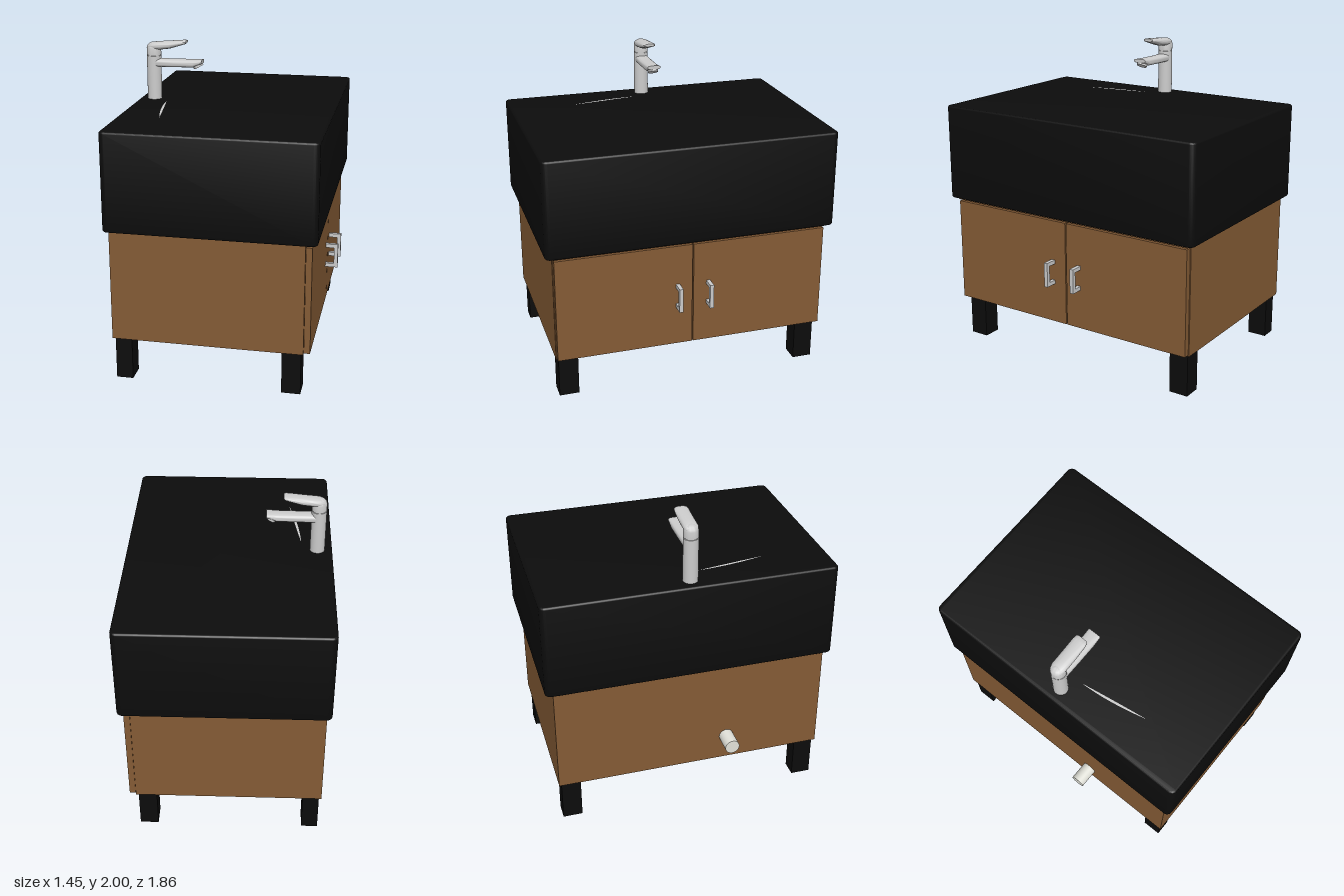
import * as THREE from 'three';
import { toCreasedNormals } from 'three/addons/utils/BufferGeometryUtils.js';

const mat = (color) => new THREE.MeshStandardMaterial({ color });
const black = mat(0x0c0c0c), wood = mat(0x845b35), metal = mat(0xcccccc), pale = mat(0xe2e2da);

function add(parent, name, geometry, material, x = 0, y = 0, z = 0) {
  const mesh = new THREE.Mesh(geometry, material);
  mesh.name = name;
  mesh.position.set(x, y, z);
  parent.add(mesh);
  return mesh;
}

// Box given by its minimum and maximum corners
function box(parent, name, material, [x0, y0, z0], [x1, y1, z1]) {
  return add(parent, name, new THREE.BoxGeometry(x1 - x0, y1 - y0, z1 - z0), material,
    (x0 + x1) / 2, (y0 + y1) / 2, (z0 + z1) / 2);
}

// Loft along +x through stations [x, yLow, yHigh, halfWidth] with rounded cross-sections
function loft(stations, n = 32, power = 0.7) {
  const pos = [], index = [];
  const soft = (v) => Math.sign(v) * Math.abs(v) ** power;
  for (const [x, lo, hi, w] of stations) {
    for (let i = 0; i < n; i++) {
      const a = (i / n) * Math.PI * 2;
      pos.push(x, (lo + hi) / 2 + soft(Math.sin(a)) * (hi - lo) / 2, soft(Math.cos(a)) * w);
    }
  }
  const last = stations.length - 1;
  for (let s = 0; s < last; s++) {
    for (let i = 0; i < n; i++) {
      const a = s * n + i, b = s * n + (i + 1) % n;
      index.push(a, a + n, b, b, a + n, b + n);
    }
  }
  // End caps
  for (const s of [0, last]) {
    const c = pos.length / 3, [x, lo, hi] = stations[s];
    pos.push(x, (lo + hi) / 2, 0);
    for (let i = 0; i < n; i++) {
      const a = s * n + i, b = s * n + (i + 1) % n;
      if (s === 0) index.push(c, a, b); else index.push(c, b, a);
    }
  }
  const g = new THREE.BufferGeometry();
  g.setAttribute('position', new THREE.Float32BufferAttribute(pos, 3));
  g.setIndex(index);
  return toCreasedNormals(g, 0.7);
}

// Slab with rounded vertical corners and small bevelled edges
function basinGeometry(w, h, d, r, bevel) {
  const x = w / 2 - bevel, y = d / 2 - bevel, s = new THREE.Shape();
  s.absarc(x - r, y - r, r, 0, Math.PI / 2);
  s.absarc(-x + r, y - r, r, Math.PI / 2, Math.PI);
  s.absarc(-x + r, -y + r, r, Math.PI, Math.PI * 1.5);
  s.absarc(x - r, -y + r, r, Math.PI * 1.5, Math.PI * 2);
  const g = new THREE.ExtrudeGeometry(s, {
    depth: h - 2 * bevel, bevelThickness: bevel, bevelSize: bevel, bevelSegments: 3, curveSegments: 6,
  });
  g.translate(0, 0, bevel - h / 2).rotateX(-Math.PI / 2);
  return toCreasedNormals(g, 0.6);
}

export function createModel() {
  const model = new THREE.Group();
  model.name = 'washstand';

  // Cabinet with a top rail above the doors
  const cabinet = new THREE.Group();
  cabinet.name = 'cabinet';
  model.add(cabinet);
  box(cabinet, 'carcass', wood, [-0.595, 0.275, -0.88], [0.6, 0.995, 0.88]);
  box(cabinet, 'topRail', wood, [0.6, 0.975, -0.88], [0.64, 0.995, 0.88]);

  // Doors and their bracket handles, mirrored in z
  for (const side of [1, -1]) {
    const label = side > 0 ? 'front' : 'back';
    const z = [0.004 * side, 0.875 * side].sort((a, b) => a - b);
    box(cabinet, label + 'Door', wood, [0.602, 0.285, z[0]], [0.64, 0.965, z[1]]);

    const handle = new THREE.Group();
    handle.name = label + 'Handle';
    handle.position.z = 0.1 * side;
    box(handle, 'grip', metal, [0.695, 0.545, -0.0125], [0.72, 0.705, 0.0125]);
    box(handle, 'lowerPost', metal, [0.638, 0.545, -0.0125], [0.695, 0.57, 0.0125]);
    box(handle, 'upperPost', metal, [0.638, 0.68, -0.0125], [0.695, 0.705, 0.0125]);
    cabinet.add(handle);

    // Square legs
    box(model, label + 'LegWallSide', black, [-0.58, 0, side * 0.8 - 0.063], [-0.475, 0.275, side * 0.8 + 0.063]);
    box(model, label + 'LegDoorSide', black, [0.467, 0, side * 0.8 - 0.063], [0.585, 0.275, side * 0.8 + 0.063]);
  }

  // Basin block
  add(model, 'basin', basinGeometry(1.3, 0.62, 1.86, 0.025, 0.012), black, 0.025, 1.3, 0);

  // Thin crescent lying on the basin top
  const crescent = new THREE.Shape();
  crescent.moveTo(-0.43, -0.08);
  crescent.quadraticCurveTo(-0.425, -0.28, -0.36, -0.525);
  crescent.quadraticCurveTo(-0.395, -0.28, -0.43, -0.08);
  const crescentMat = mat(0xcccccc);
  crescentMat.side = THREE.DoubleSide;
  add(model, 'basinCrescent', new THREE.ShapeGeometry(crescent).rotateX(-Math.PI / 2), crescentMat, 0, 1.612, 0);

  // Waste pipe on the wall side
  add(model, 'wastePipe', new THREE.CylinderGeometry(0.047, 0.047, 0.14, 32).rotateZ(Math.PI / 2),
    pale, -0.655, 0.445, 0.24);

  // Tap
  const tap = new THREE.Group();
  tap.name = 'tap';
  model.add(tap);
  const tx = -0.53;
  add(tap, 'tapBody', new THREE.CylinderGeometry(0.047, 0.047, 0.285, 32), metal, tx, 1.7525, 0);
  add(tap, 'tapCollar', new THREE.CylinderGeometry(0.042, 0.042, 0.012, 32), metal, tx, 1.899, 0);
  const cap = [[0.001, 1.9], [0.047, 1.9], [0.047, 1.945], [0.043, 1.96], [0.032, 1.973], [0.016, 1.981], [0.001, 1.983]]
    .map(([r, y]) => new THREE.Vector2(r, y));
  add(tap, 'tapCap', toCreasedNormals(new THREE.LatheGeometry(cap, 32), 0.7), metal, tx, 0, 0);
  add(tap, 'lever', loft([
    [-0.57, 1.94, 1.957, 0.022], [-0.555, 1.935, 1.973, 0.038], [-0.53, 1.932, 1.983, 0.046],
    [-0.48, 1.935, 1.988, 0.046], [-0.42, 1.943, 1.993, 0.046], [-0.34, 1.968, 1.999, 0.045],
    [-0.318, 1.975, 2.0, 0.041], [-0.31, 1.98, 1.998, 0.034],
  ], 32, 0.85), metal);
  add(tap, 'spout', loft([
    [-0.53, 1.822, 1.876, 0.043], [-0.4, 1.823, 1.874, 0.044], [-0.265, 1.826, 1.876, 0.044],
    [-0.24, 1.838, 1.877, 0.044], [-0.205, 1.852, 1.878, 0.044],
  ]), metal);
  const aerator = add(tap, 'aerator', new THREE.CylinderGeometry(0.034, 0.034, 0.022, 24), metal, -0.236, 1.838, 0);
  aerator.rotation.z = 0.5;

  return model;
}
